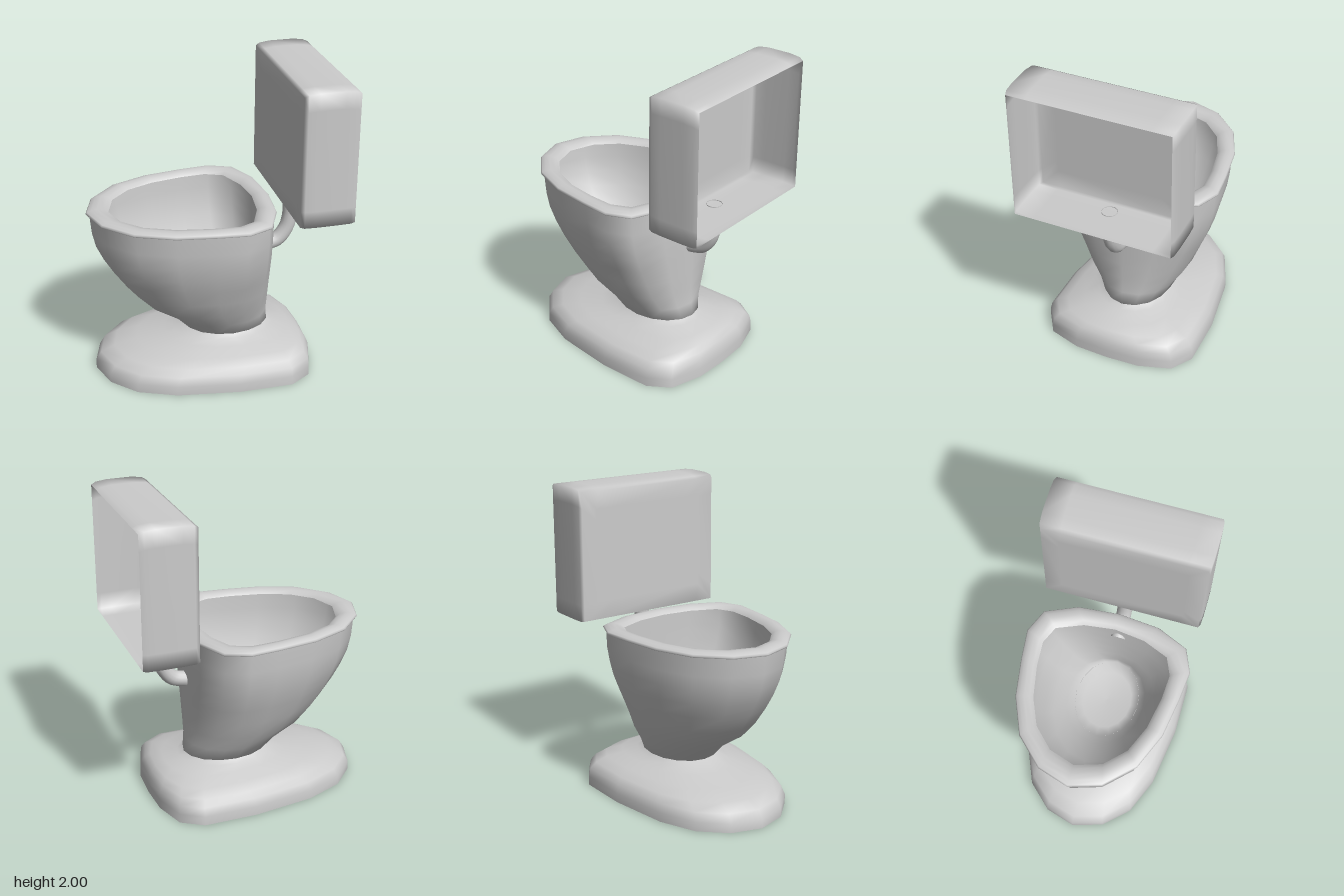
import * as THREE from 'three';

const material = new THREE.MeshStandardMaterial({ color: 0xcccccc, roughness: 0.7, side: THREE.DoubleSide });

// Skins a stack of closed rings that all have the same number of points.
function loft(name, rings) {
  const n = rings[0].length;
  const index = [];
  for (let i = 0; i < rings.length - 1; i++) {
    for (let j = 0; j < n; j++) {
      const k = (j + 1) % n;
      const a = i * n + j, b = i * n + k, c = b + n, d = a + n;
      index.push(a, b, c, a, c, d);
    }
  }
  const geometry = new THREE.BufferGeometry().setFromPoints(rings.flat());
  geometry.setIndex(index);
  geometry.computeVertexNormals();
  const mesh = new THREE.Mesh(geometry, material);
  mesh.name = name;
  return mesh;
}

// Mirrors half an outline of [x, z] points across z = 0.
function mirrorOutline(half) {
  return [...half, ...half.slice(1, -1).reverse().map(([x, z]) => [x, -z])];
}

// Rescales an outline to x0..x1 and half width w at height y, blending towards an ellipse.
function section(outline, [y, x0, x1, w, round]) {
  const xs = outline.map((p) => p[0]);
  const min = Math.min(...xs), max = Math.max(...xs);
  const wide = Math.max(...outline.map((p) => p[1]));
  return outline.map(([x, z], j) => {
    const a = (j / outline.length) * Math.PI * 2;
    const u = THREE.MathUtils.lerp((x - min) / (max - min), (1 - Math.cos(a)) / 2, round);
    const v = THREE.MathUtils.lerp(z / wide, Math.sin(a), round);
    return new THREE.Vector3(x0 + u * (x1 - x0), y, v * w);
  });
}

const rimOuter = mirrorOutline([
  [-0.8, 0], [-0.735, 0.205], [-0.565, 0.38], [-0.325, 0.48], [-0.07, 0.52],
  [0.125, 0.54], [0.28, 0.475], [0.37, 0.27], [0.395, 0],
]);
const rimInner = mirrorOutline([
  [-0.655, 0], [-0.6, 0.17], [-0.475, 0.295], [-0.3, 0.37], [-0.09, 0.41],
  [0.075, 0.42], [0.19, 0.37], [0.26, 0.2], [0.285, 0],
]);
const footOutline = mirrorOutline([
  [-0.775, 0], [-0.715, 0.2], [-0.565, 0.36], [-0.325, 0.46], [0.08, 0.52],
  [0.43, 0.52], [0.57, 0.43], [0.635, 0.22], [0.645, 0],
]);

// Hollow foot: y, back x, front x, half width, roundness
function createBase() {
  return loft('base', [
    [0, -0.775, 0.645, 0.52, 0],
    [0.06, -0.775, 0.643, 0.52, 0],
    [0.115, -0.74, 0.637, 0.505, 0],
    [0.155, -0.65, 0.617, 0.47, 0.05],
    [0.187, -0.5, 0.59, 0.4, 0.15],
    [0.215, -0.32, 0.53, 0.31, 0.45],
    [0.24, -0.23, 0.43, 0.25, 0.8],
    [0.262, -0.175, 0.395, 0.222, 1],
  ].map((s) => section(footOutline, s)));
}

// Bowl with a closed floor
function createBowl() {
  return loft('bowl', [
    [0.235, 0.11, 0.11, 0, 1],
    [0.24, -0.1, 0.32, 0.17, 1],
    [0.262, -0.175, 0.395, 0.225, 1],
    [0.35, -0.26, 0.382, 0.27, 0.85],
    [0.46, -0.43, 0.38, 0.342, 0.6],
    [0.58, -0.55, 0.38, 0.39, 0.4],
    [0.7, -0.635, 0.38, 0.44, 0.25],
    [0.8, -0.695, 0.38, 0.475, 0.12],
    [0.9, -0.742, 0.38, 0.5, 0.05],
    [1.0, -0.765, 0.38, 0.515, 0],
    [1.14, -0.778, 0.38, 0.522, 0],
  ].map((s) => section(rimOuter, s)));
}

// Low domed rim: share of the way from outer to inner edge, height
function createRim() {
  const profile = [[0.04, 1.128], [0, 1.138], [0.06, 1.147], [0.25, 1.157], [0.5, 1.162], [0.8, 1.155], [1, 1.135]];
  return loft('rim', profile.map(([t, y]) => rimOuter.map(([x, z], j) => new THREE.Vector3(
    THREE.MathUtils.lerp(x, rimInner[j][0], t), y, THREE.MathUtils.lerp(z, rimInner[j][1], t)))));
}

// Tank shell, open on its +x side: x, bottom y, top y, half width
function createTank() {
  const steps = [-1, -0.75, 0.75];
  const loop = [
    ...steps.map((s) => [1, -s]), ...steps.map((s) => [-s, -1]),
    ...steps.map((s) => [-1, s]), ...steps.map((s) => [s, 1]),
  ];
  return loft('tank', [
    [0.445, 1.56, 1.56, 0],
    [0.445, 1.25, 1.86, 0.4],
    [0.445, 1.135, 1.978, 0.51],
    [0.47, 1.13, 1.992, 0.52],
    [0.54, 1.13, 2.0, 0.525],
    [0.7, 1.13, 2.0, 0.525],
    [0.77, 1.13, 1.992, 0.522],
    [0.8, 1.133, 1.978, 0.513],
  ].map(([x, y0, y1, w]) => loop.map(([u, v]) => new THREE.Vector3(
    x, (y0 + y1) / 2 + v * (y1 - y0) / 2, u * w))));
}

// Bent pipe from the tank to the bowl
function createPipe() {
  const path = new THREE.CatmullRomCurve3([
    [0.545, 1.135], [0.545, 0.98], [0.52, 0.885], [0.46, 0.81], [0.37, 0.785],
  ].map(([x, y]) => new THREE.Vector3(x, y, 0)));
  const pipe = new THREE.Mesh(new THREE.TubeGeometry(path, 20, 0.05, 14), material);
  pipe.name = 'pipe';
  return pipe;
}

export function createModel() {
  const model = new THREE.Group();
  model.name = 'toilet';
  model.add(createBase(), createBowl(), createRim(), createTank(), createPipe());
  return model;
}
